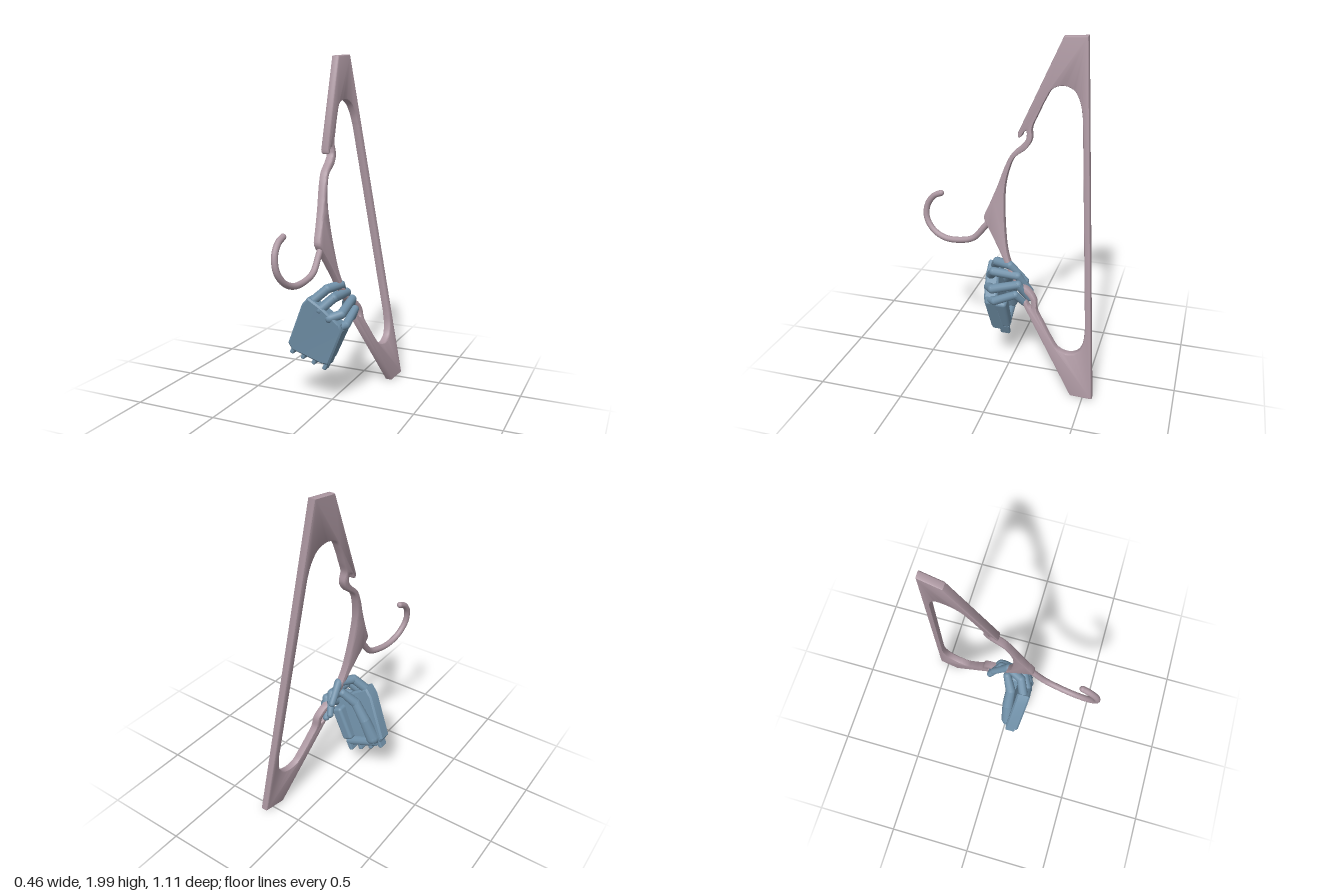
import * as THREE from 'three';
import { toCreasedNormals } from 'three/addons/utils/BufferGeometryUtils.js';
import { RoundedBoxGeometry } from 'three/addons/geometries/RoundedBoxGeometry.js';

const pink = new THREE.MeshStandardMaterial({ color: 0xad98a2 });
const blue = new THREE.MeshStandardMaterial({ color: 0x7090a8 });
const V = (x, y, z) => new THREE.Vector3(x, y, z);

// The hanger lies in a tilted plane: x follows from y and z.
const planeX = (y, z) => 0.133 - 0.139 * y - 0.15 * z;

// Reflects a hanger point [u = -z, y] across the hanger's axis.
function reflect([u, y]) {
  const n = [0.079, -0.997];
  const k = 2 * ((u - 0.478) * n[0] + (y - 1.01) * n[1]);
  return [u - k * n[0], y - k * n[1]];
}
const mirrored = (pts) => pts.map(reflect).reverse();

function smooth(pts, count) {
  const c = new THREE.CatmullRomCurve3(pts.map(([u, y]) => V(u, y, 0)), false, 'centripetal');
  return c.getPoints(count).map((p) => new THREE.Vector2(p.x, p.y));
}
const corners = (pts) => pts.map(([u, y]) => new THREE.Vector2(u, y));

function add(parent, name, geometry, material) {
  const m = new THREE.Mesh(geometry, material);
  m.name = name;
  parent.add(m);
  return m;
}

function buildHanger() {
  const g = new THREE.Group();
  g.name = 'hanger';

  // Outer edge of one half: shoulder end, strap notch, neck
  const end = [[0.40, 2.0], [0.27, 1.99]];
  const edge = [[0.036, 1.465], [0.04, 1.443], [0.055, 1.446], [0.07, 1.473], [0.084, 1.482],
    [0.086, 1.44], [0.058, 1.40], [0.005, 1.348], [-0.03, 1.28], [-0.074, 1.157],
    [-0.117, 1.05], [-0.15, 0.97]];
  // Inner edge of one half: shoulder arch, strap notch, neck
  const inner = [[0.398, 1.581], [0.38, 1.66], [0.345, 1.719], [0.286, 1.74], [0.223, 1.719],
    [0.186, 1.66], [0.143, 1.565], [0.117, 1.501], [0.119, 1.438], [0.09, 1.385],
    [0.021, 1.326], [-0.011, 1.247], [-0.03, 1.13]];

  const shape = new THREE.Shape([
    ...corners(end), ...smooth([...edge, ...mirrored(edge)], 130), ...corners(mirrored(end)),
  ]);
  shape.holes.push(new THREE.Path(smooth([...inner, ...mirrored(inner)], 130)));

  let frame = new THREE.ExtrudeGeometry(shape, {
    depth: 0.029, bevelThickness: 0.008, bevelSize: 0.008, bevelOffset: -0.008, bevelSegments: 2,
  });
  frame.translate(0, 0, -0.0145).rotateY(Math.PI / 2);
  const p = frame.attributes.position;
  for (let i = 0; i < p.count; i++) p.setX(i, p.getX(i) + planeX(p.getY(i), p.getZ(i)));
  add(g, 'hangerFrame', toCreasedNormals(frame, 0.7), pink);

  // Hook rod with a round tip
  const rod = [[-0.09, 0.98], [-0.15, 0.9], [-0.218, 0.822], [-0.297, 0.793], [-0.403, 0.787],
    [-0.483, 0.822], [-0.53, 0.891], [-0.525, 0.971], [-0.483, 1.029], [-0.438, 1.052]]
    .map(([u, y]) => V(planeX(y, -u), y, -u));
  add(g, 'hook', new THREE.TubeGeometry(new THREE.CatmullRomCurve3(rod), 64, 0.018, 12), pink);
  add(g, 'hookTip', new THREE.SphereGeometry(0.018, 12, 8), pink).position.copy(rod[rod.length - 1]);
  return g;
}

// Tapered rod from a to b
function rodBetween(parent, name, a, b, ra, rb) {
  const d = b.clone().sub(a);
  const m = add(parent, name, new THREE.CylinderGeometry(rb, ra, d.length(), 12), blue);
  m.position.copy(a).lerp(b, 0.5);
  m.quaternion.setFromUnitVectors(V(0, 1, 0), d.normalize());
  return m;
}

// Jointed digit: a rod per bone with a ball at each joint and at the tip
function digit(parent, name, points, radii) {
  const g = new THREE.Group();
  g.name = name;
  points.forEach((q, i) => {
    const ball = add(g, name + 'Joint', new THREE.SphereGeometry(radii[i], 12, 10), blue);
    ball.position.copy(q);
    if (i > 0) rodBetween(g, name + 'Bone', points[i - 1], q, radii[i - 1], radii[i]);
  });
  parent.add(g);
}

function buildHand() {
  const g = new THREE.Group();
  g.name = 'hand';

  // Palm plate, leaning forward toward the knuckles
  const outline = [[-0.125, 0.61], [-0.085, 0.655], [0.0, 0.6], [0.1, 0.51], [0.11, 0.47],
    [0.02, 0.255], [-0.03, 0.26], [-0.21, 0.32], [-0.23, 0.36]];
  const plate = new THREE.ExtrudeGeometry(new THREE.Shape(corners(outline)), {
    depth: 0.06, bevelThickness: 0.01, bevelSize: 0.01, bevelOffset: -0.01, bevelSegments: 1,
  });
  const p = plate.attributes.position;
  for (let i = 0; i < p.count; i++) {
    p.setZ(i, p.getZ(i) + 0.045 + 0.12 * (p.getY(i) - 0.35) - 0.1 * Math.max(0, p.getX(i)));
  }
  add(g, 'palm', toCreasedNormals(plate, 0.5), blue);

  // Pad on the little finger side
  const pad = add(g, 'palmPad', new RoundedBoxGeometry(0.07, 0.22, 0.08, 3, 0.018), blue);
  pad.position.set(0.035, 0.385, 0.03);
  pad.rotation.z = -0.42;

  // Wrist hinge lugs
  for (let i = 0; i < 4; i++) {
    const lug = add(g, 'wristLug', new RoundedBoxGeometry(0.025, 0.075, 0.06, 2, 0.008), blue);
    lug.position.set(-0.205 + 0.063 * i, 0.325 - 0.028 * i, 0.065 - 0.012 * i);
    lug.rotation.z = -0.42;
  }
  const wrist = rodBetween(g, 'wristPin', V(-0.19, 0.33, 0.04), V(0.0, 0.26, 0.03), 0.03, 0.03);
  wrist.scale.z = 1.1;

  // Fingers curled over the hanger
  const r = [0.027, 0.027, 0.025, 0.02];
  digit(g, 'indexFinger', [V(-0.08, 0.62, 0.11), V(0.0, 0.695, 0.07), V(0.045, 0.705, -0.02), V(0.03, 0.61, -0.11)], r);
  digit(g, 'middleFinger', [V(-0.02, 0.585, 0.12), V(0.045, 0.65, 0.08), V(0.06, 0.65, -0.07), V(0.025, 0.55, -0.135)], r);
  digit(g, 'ringFinger', [V(0.035, 0.54, 0.115), V(0.09, 0.56, 0.075), V(0.09, 0.61, -0.08), V(0.055, 0.515, -0.135)], r);
  digit(g, 'littleFinger', [V(0.08, 0.485, 0.095), V(0.11, 0.495, 0.055), V(0.112, 0.555, -0.07), V(0.08, 0.49, -0.12)],
    [0.024, 0.025, 0.023, 0.018]);

  // Thumb pressing from the palm side
  digit(g, 'thumb', [V(-0.165, 0.35, 0.035), V(-0.115, 0.47, 0.02), V(-0.05, 0.57, 0.02), V(0.015, 0.64, -0.02)],
    [0.042, 0.034, 0.03, 0.024]);
  return g;
}

export function createModel() {
  const model = new THREE.Group();
  model.name = 'handHoldingHanger';
  model.add(buildHanger(), buildHand());
  return model;
}
